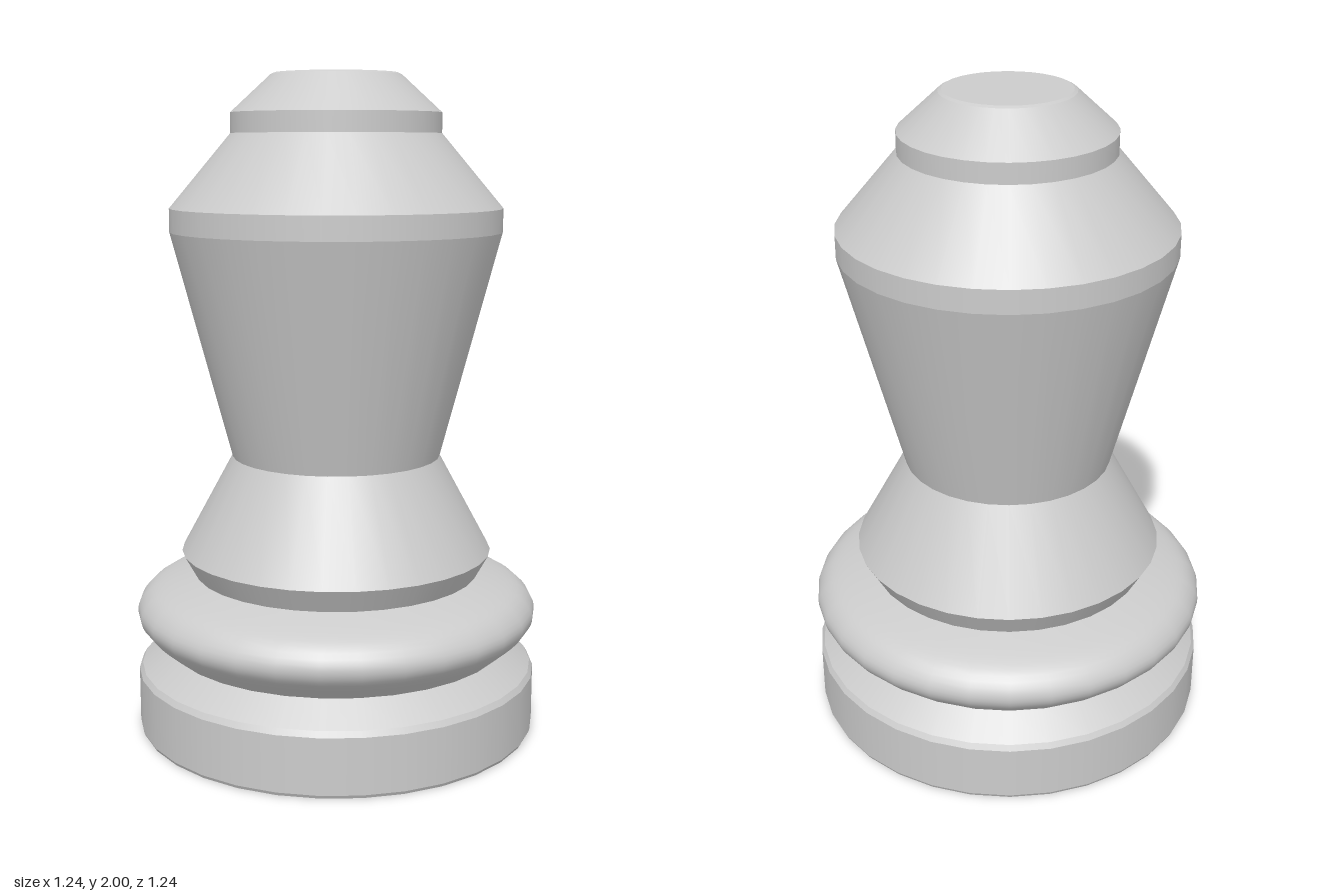
import * as THREE from 'three';
import { mergeGeometries } from 'three/addons/utils/BufferGeometryUtils.js';

const SIDES = 32;
const material = new THREE.MeshStandardMaterial({ color: 0xcccccc });
const toPoints = (list) => list.map(([r, y]) => new THREE.Vector2(r, y));

// One smooth turned surface; profile runs from bottom to top
const turn = (points) => new THREE.LatheGeometry(points, SIDES);

// Turned part whose profile corners stay sharp: one lathe per straight band
function turnedPart(name, profile) {
  const points = toPoints(profile);
  const bands = points.slice(1).map((p, i) => turn([points[i], p]));
  return namedMesh(name, mergeGeometries(bands));
}

function namedMesh(name, geometry) {
  const mesh = new THREE.Mesh(geometry, material);
  mesh.name = name;
  return mesh;
}

export function createModel() {
  const model = new THREE.Group();
  model.name = 'chessPiece';

  // Flat foot with a chamfered upper rim
  model.add(turnedPart('base', [
    [0, 0], [0.615, 0], [0.62, 0.01], [0.62, 0.18], [0.61, 0.197], [0.53, 0.26],
  ]));

  // Rounded ring above the foot
  const ringCurve = new THREE.SplineCurve(toPoints([
    [0.53, 0.26], [0.585, 0.308], [0.616, 0.348], [0.617, 0.388],
    [0.585, 0.43], [0.53, 0.457], [0.44, 0.483],
  ]));
  model.add(namedMesh('ring', turn(ringCurve.getPoints(18))));

  // Flared collar, narrowing to the waist
  model.add(turnedPart('collar', [[0.44, 0.483], [0.48, 0.555], [0.32, 0.85]]));

  // Body widening upward to the shoulder
  model.add(turnedPart('body', [[0.32, 0.85], [0.50, 1.535], [0.50, 1.605], [0.315, 1.825]]));

  // Cap with a short neck and a flat top
  model.add(turnedPart('cap', [[0.315, 1.825], [0.315, 1.885], [0.195, 1.995], [0.185, 2], [0, 2]]));

  return model;
}
